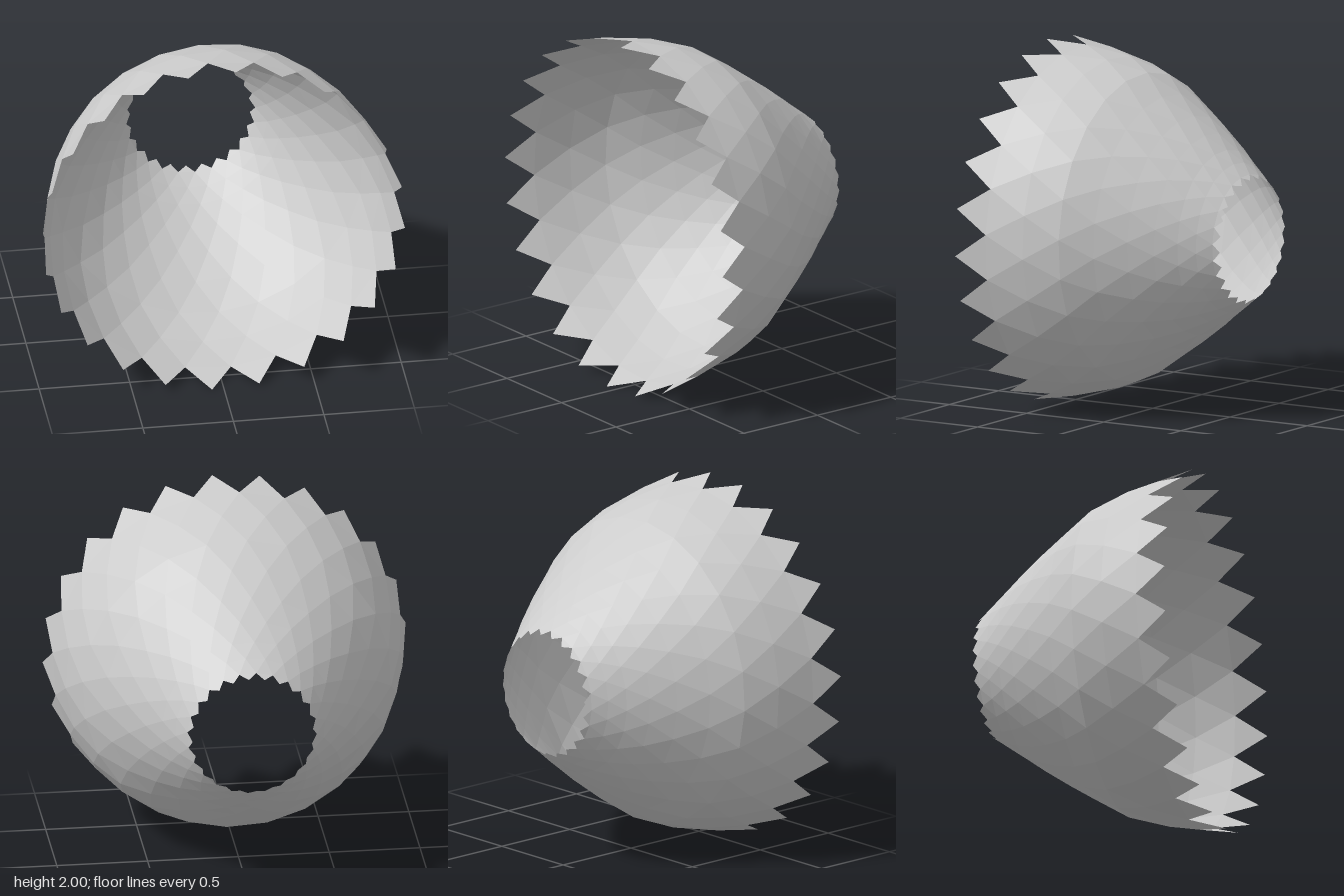
import * as THREE from 'three';

// Open faceted shade: 24-sided rings, each turned half a step from the last,
// joined by triangles so both rims end in saw teeth.
const SIDES = 24;
const STEP = (Math.PI * 2) / SIDES;
const PHASE = -STEP / 4;

// [z, radius] from the wide front rim to the narrow back rim
const RINGS = [
  [0.645, 1.002], [0.47, 0.968], [0.26, 0.922], [0.07, 0.852], [-0.09, 0.747], [-0.24, 0.643],
  [-0.36, 0.555], [-0.46, 0.476], [-0.54, 0.413], [-0.612, 0.357], [-0.645, 0.332],
];

function latticeShell() {
  const positions = [];
  const index = [];
  RINGS.forEach(([z, r], row) => {
    for (let i = 0; i < SIDES; i++) {
      const a = PHASE + (i + (row % 2) / 2) * STEP;
      positions.push(r * Math.cos(a), 1 + r * Math.sin(a), z);
    }
  });
  const id = (row, i) => row * SIDES + ((i + SIDES) % SIDES);
  const last = RINGS.length - 1;
  for (let row = 0; row < last; row++) {
    const odd = row % 2;
    for (let i = 0; i < SIDES; i++) {
      // triangle pointing forward, based on the ring behind
      index.push(id(row, i), id(row + 1, i - 1 + odd), id(row + 1, i + odd));
      // triangle pointing back, based on the ring in front; left out at the front rim
      if (row > 0) index.push(id(row, i), id(row + 1, i + odd), id(row, i + 1));
    }
  }
  // the last band keeps only its backward teeth
  const backTeeth = index.length - SIDES * 6;
  const kept = index.filter((_, k) => k < backTeeth || (k - backTeeth) % 6 >= 3);
  const geometry = new THREE.BufferGeometry();
  geometry.setAttribute('position', new THREE.Float32BufferAttribute(positions, 3));
  geometry.setIndex(kept);
  geometry.computeVertexNormals();
  return geometry;
}

export function createModel() {
  const group = new THREE.Group();
  group.name = 'facetedShade';
  const material = new THREE.MeshStandardMaterial({
    color: 0xcccccc, flatShading: true, side: THREE.DoubleSide,
  });
  const shell = new THREE.Mesh(latticeShell(), material);
  shell.name = 'shell';
  group.add(shell);
  return group;
}
